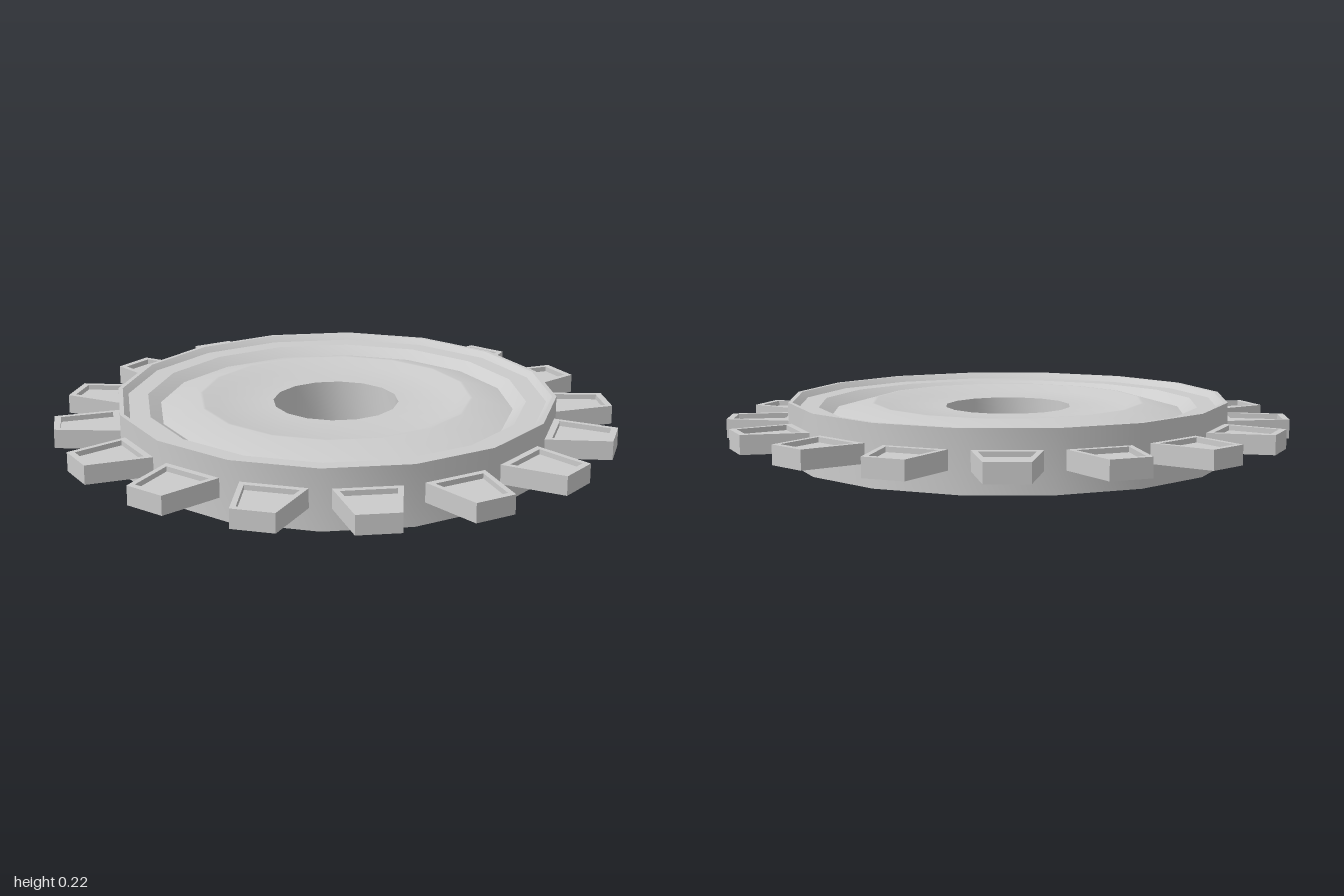
import * as THREE from 'three';
import { toCreasedNormals } from 'three/addons/utils/BufferGeometryUtils.js';

const SIDES = 16;
const material = new THREE.MeshStandardMaterial({ color: 0xcccccc });

// Symmetric trapezoid pointing along +y, from radius r0 to r1
function trapezoid(Type, r0, w0, r1, w1) {
  return new Type([[-w0, r0], [w0, r0], [w1, r1], [-w1, r1]].map(([x, y]) => new THREE.Vector2(x, y)));
}

// Extrude a plan shape upwards from y0 to y1
function slab(shape, y0, y1) {
  const g = new THREE.ExtrudeGeometry(shape, { depth: y1 - y0, bevelEnabled: false });
  return g.rotateX(-Math.PI / 2).translate(0, y0, 0);
}

export function createModel() {
  const gear = new THREE.Group();
  gear.name = 'gear';

  // Disc: a closed profile [distance to flat, height], turned in 16 sides
  const profile = [
    [0.77, 0], [0.77, 0.215],                                 // outer wall
    [0.755, 0.215], [0.735, 0.195], [0.665, 0.195],           // top rim
    [0.62, 0.165], [0.48, 0.205], [0.47, 0.205],              // sloped dish
    [0.42, 0.185], [0.22, 0.185],                             // top hub recess
    [0.22, 0.03], [0.42, 0.03], [0.43, 0.012], [0.48, 0.012], // bore, lower hub
    [0.48, 0.016], [0.74, 0.016], [0.755, 0], [0.77, 0],      // underside and rim
  ];
  const k = 1 / Math.cos(Math.PI / SIDES);
  const points = profile.map(([r, y]) => new THREE.Vector2(r * k, y));
  const lathe = new THREE.LatheGeometry(points, SIDES, Math.PI / SIDES);
  const disc = new THREE.Mesh(toCreasedNormals(lathe, Math.PI / 7), material);
  disc.name = 'disc';
  gear.add(disc);

  // Teeth: a trapezoid frame with a sunken panel on both faces
  const outline = trapezoid(THREE.Shape, 0.75, 0.119, 1, 0.075);
  outline.holes.push(trapezoid(THREE.Path, 0.793, 0.093, 0.977, 0.06));
  const frameGeometry = slab(outline, 0.077, 0.145);
  const panelGeometry = slab(trapezoid(THREE.Shape, 0.79, 0.095, 0.98, 0.062), 0.095, 0.127);

  for (let i = 0; i < SIDES; i++) {
    const tooth = new THREE.Group();
    tooth.name = 'tooth';
    const frame = new THREE.Mesh(frameGeometry, material);
    frame.name = 'toothFrame';
    const panel = new THREE.Mesh(panelGeometry, material);
    panel.name = 'toothPanel';
    tooth.add(frame, panel);
    tooth.rotation.y = (i / SIDES) * Math.PI * 2;
    gear.add(tooth);
  }
  return gear;
}
